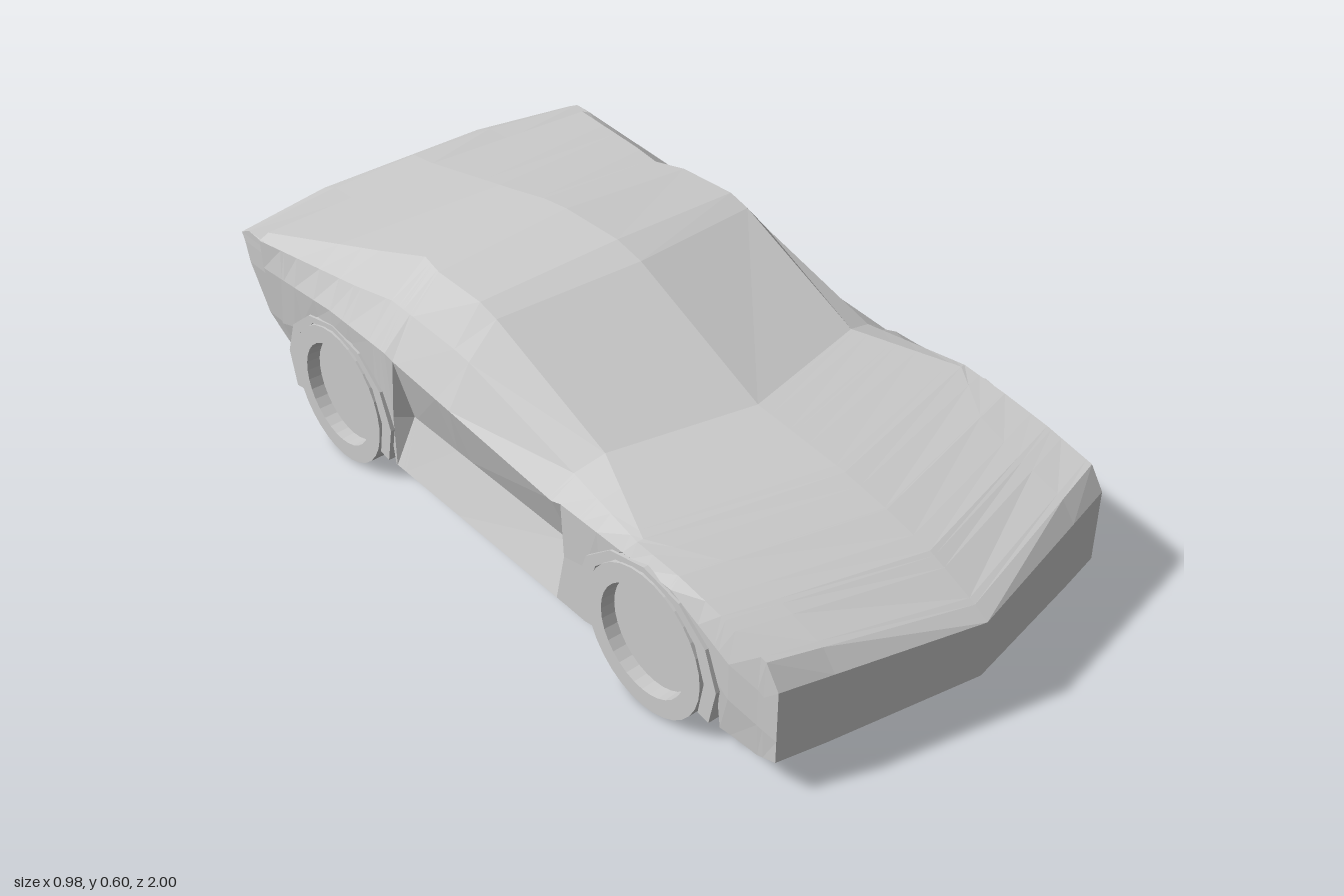
import * as THREE from 'three';

const material = new THREE.MeshStandardMaterial({ color: 0xcccccc, flatShading: true, side: THREE.DoubleSide });
const WHEEL_Z = [0.545, -0.547];
const WHEEL_R = 0.172;

// Upper body: z, forward sweep at centre, centre y, roof edge x/y, belt x/y
const upper = [
  [0.90, 0.10, 0.25, 0.34, 0.268, 0.46, 0.275],
  [0.865, 0.10, 0.272, 0.34, 0.312, 0.46, 0.327],
  [0.74, 0.10, 0.328, 0.34, 0.347, 0.46, 0.355],
  [0.62, 0.10, 0.358, 0.36, 0.37, 0.46, 0.373],
  [0.50, 0.10, 0.38, 0.45, 0.385, 0.463, 0.383],
  [0.24, 0.10, 0.405, 0.35, 0.405, 0.42, 0.38],
  [-0.10, 0.06, 0.577, 0.355, 0.555, 0.425, 0.472],
  [-0.15, 0.03, 0.595, 0.355, 0.57, 0.425, 0.478],
  [-0.30, 0, 0.593, 0.35, 0.567, 0.425, 0.484],
  [-0.38, 0, 0.583, 0.33, 0.56, 0.425, 0.486],
  [-0.50, 0, 0.555, 0.37, 0.535, 0.445, 0.475],
  [-0.83, 0, 0.483, 0.465, 0.467, 0.49, 0.455],
];
// Lower body: z, shoulder x/y, waist x/y, sill x, sill y, centre floor y
const lower = [
  [0.90, 0.46, 0.22, 0.46, 0.15, 0.46, 0.095, 0.11],
  [0.85, 0.465, 0.25, 0.465, 0.16, 0.46, 0.077, 0.105],
  [0.78, 0.475, 0.27, 0.475, 0.18, 0.465, 0.08, 0.09],
  [0.62, 0.48, 0.35, 0.48, 0.30, 0.48, 0.08, 0.08],
  [0.28, 0.48, 0.35, 0.475, 0.21, 0.475, 0.08, 0.08],
  [0.25, 0.48, 0.34, 0.43, 0.205, 0.475, 0.08, 0.08],
  [-0.31, 0.48, 0.385, 0.435, 0.215, 0.475, 0.085, 0.085],
  [-0.335, 0.483, 0.395, 0.475, 0.22, 0.475, 0.085, 0.085],
  [-0.55, 0.485, 0.40, 0.482, 0.30, 0.48, 0.09, 0.09],
  [-0.83, 0.488, 0.38, 0.47, 0.23, 0.44, 0.12, 0.12],
];
// Half of a wheel opening: distance from the axle, height of the edge
const archEdge = [[0, 0.35], [0.07, 0.347], [0.15, 0.29], [0.195, 0.19], [0.207, 0]];

// Linear interpolation in a table whose first column is z, falling
function sample(table, z) {
  let i = 0;
  while (i < table.length - 2 && z < table[i + 1][0]) i++;
  const a = table[i], b = table[i + 1];
  const t = (z - a[0]) / (b[0] - a[0]);
  return a.map((v, k) => v + (b[k] - v) * t);
}

function archHeight(z) {
  const d = Math.min(...WHEEL_Z.map(w => Math.abs(z - w)));
  for (let i = 0; i < archEdge.length - 1; i++) {
    const [d0, y0] = archEdge[i], [d1, y1] = archEdge[i + 1];
    if (d <= d1) return y0 + (y1 - y0) * (d - d0) / (d1 - d0);
  }
  return 0;
}

// Closed cross-section of the shell, with the wheel wells stepped inward
function section(z) {
  const [, sweep, yc, x1, y1, x2, y2] = sample(upper, z);
  const [, x3, y3, x4, y4, x5, yb, ybc] = sample(lower, z);
  const edge = Math.max(yb, archHeight(z));
  const half = [
    [0, yc], [x1, y1], [x2, y2], [x3, Math.max(y3, edge)], [x4, Math.max(y4, edge)],
    [x5, edge], [0.35, edge], [0.35, yb], [0, ybc],
  ];
  const mirrored = half.slice(1, -1).reverse().map(([x, y]) => [-x, y]);
  // The nose points forward at the centre; the rear end leans forward below
  const lean = Math.max(0, -0.765 - z) / 0.065 * 0.36;
  return [...half, ...mirrored].map(([x, y]) => [
    x, y, z + sweep * Math.max(0, 1 - Math.abs(x) / 0.46) + lean * Math.max(0, 0.3 - y),
  ]);
}

// Skin a list of point rows, mirroring the diagonals; cap fills the first row
function skin(rows, closed, cap) {
  const n = rows[0].length, pos = rows.flat(2), index = [];
  for (let i = 0; i < rows.length - 1; i++) {
    for (let j = 0; j < (closed ? n : n - 1); j++) {
      const k = (j + 1) % n;
      const a = i * n + j, b = i * n + k, c = a + n, d = b + n;
      if (rows[i][j][0] + rows[i][k][0] > 0) index.push(a, b, d, a, d, c);
      else index.push(a, b, c, b, d, c);
    }
  }
  if (cap) {
    pos.push(...cap);
    for (let j = 0; j < n; j++) index.push(rows.length * n, (j + 1) % n, j);
  }
  const g = new THREE.BufferGeometry();
  g.setAttribute('position', new THREE.Float32BufferAttribute(pos, 3));
  g.setIndex(index);
  const flat = g.toNonIndexed();
  flat.computeVertexNormals();
  return flat;
}

function add(parent, name, geometry) {
  const mesh = new THREE.Mesh(geometry, material);
  mesh.name = name;
  parent.add(mesh);
  return mesh;
}

// Faceted lip around a wheel opening
function archLip() {
  const steps = 8, pts = [];
  const at = (i, rx, ry) => {
    const a = THREE.MathUtils.degToRad(-25 + 230 * i / steps);
    return new THREE.Vector2(Math.cos(a) * rx, Math.sin(a) * ry);
  };
  for (let i = 0; i <= steps; i++) pts.push(at(i, 0.213, 0.188));
  for (let i = steps; i >= 0; i--) pts.push(at(i, 0.178, 0.174));
  const g = new THREE.ExtrudeGeometry(new THREE.Shape(pts), { depth: 0.05, bevelEnabled: false });
  return g.translate(0, 0, -0.025).rotateY(Math.PI / 2);
}

// Tyre with a sunken hub disc, outer side towards +y
function wheelGeometry() {
  const profile = [[0, 0], [WHEEL_R, 0], [WHEEL_R, 0.133], [0.128, 0.133], [0.126, 0.1], [0, 0.1]];
  return new THREE.LatheGeometry(profile.map(p => new THREE.Vector2(...p)), 32);
}

export function createModel() {
  const car = new THREE.Group();
  car.name = 'sportsCar';

  // Main shell with bonnet, cabin, doors and floor
  const stations = new Set([...upper, ...lower].map(r => r[0]));
  for (const w of WHEEL_Z) for (const [d] of archEdge) { stations.add(w + d); stations.add(w - d); }
  const rows = [...stations].sort((a, b) => b - a).map(section);
  add(car, 'body', skin(rows, true, [0, 0.18, 1]));

  // Tail: centre y, edge y, centre z, edge z, edge x, from deck lip to floor
  const tail = [
    [0.483, 0.456, -0.83, -0.83, 0.489],
    [0.473, 0.458, -0.91, -0.88, 0.488],
    [0.44, 0.44, -0.965, -0.915, 0.488],
    [0.415, 0.42, -0.945, -0.905, 0.488],
    [0.365, 0.365, -1.0, -0.895, 0.486],
    [0.235, 0.235, -0.97, -0.86, 0.47],
    [0.175, 0.175, -0.925, -0.82, 0.455],
    [0.125, 0.125, -0.845, -0.785, 0.441],
    [0.115, 0.115, -0.765, -0.765, 0.438],
  ].map(([yc, ye, zc, ze, x]) => {
    const ym = (yc + ye) / 2;
    // The side edges tuck just inside the end of the body
    const front = -0.815 + 0.36 * Math.max(0, 0.3 - ye);
    return [
      [-x + 0.001, ye, front], [-x, ye, ze], [-0.23, ym, zc], [0, yc, zc],
      [0.23, ym, zc], [x, ye, ze], [x - 0.001, ye, front],
    ];
  });
  add(car, 'tail', skin(tail, false));

  // Wheels and arch lips on both sides
  const wheel = wheelGeometry(), lip = archLip();
  WHEEL_Z.forEach((z, i) => {
    for (const side of [1, -1]) {
      const label = (i ? 'rear' : 'front') + (side > 0 ? 'Left' : 'Right');
      const w = add(car, label + 'Wheel', wheel);
      w.position.set(side * 0.357, WHEEL_R, z);
      w.rotation.z = -side * Math.PI / 2;
      add(car, label + 'Arch', lip).position.set(side * 0.46, WHEEL_R, z);
    }
  });
  return car;
}
